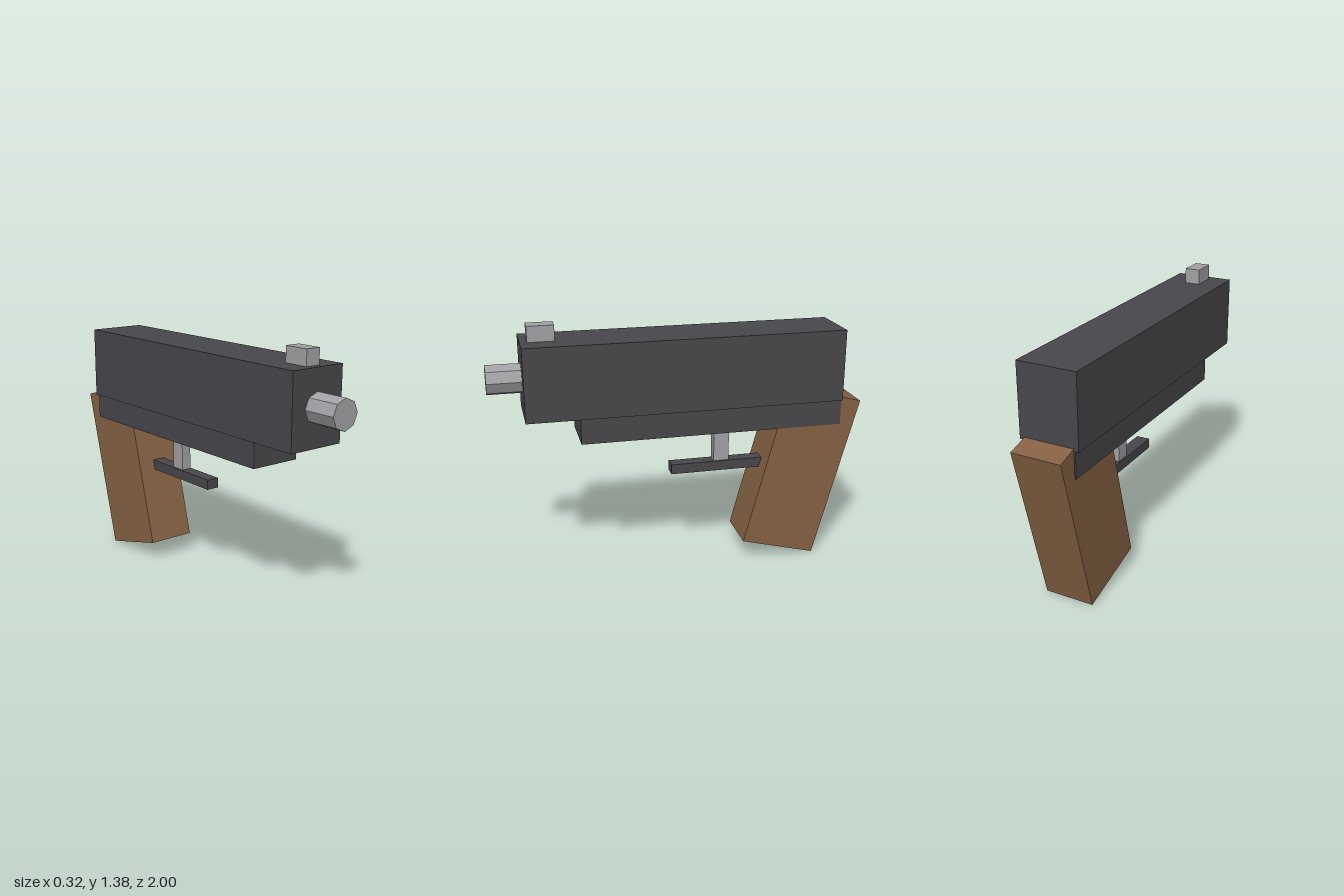
import * as THREE from 'three';

const material = (name, color) => {
  const m = new THREE.MeshStandardMaterial({ color });
  m.name = name;
  return m;
};

export function createModel() {
  const model = new THREE.Group();
  const darkMetal = material('dark metal', 0x48474b);
  const lightMetal = material('light metal', 0xa2a2a6);
  const wood = material('brown grip', 0x866244);

  const add = (name, geometry, mat, y, z) => {
    const mesh = new THREE.Mesh(geometry, mat);
    mesh.name = name;
    mesh.position.set(0, y, z);
    model.add(mesh);
    return mesh;
  };

  // Box given by its width and its extents in y and z
  const block = (name, mat, width, y0, y1, z0, z1) =>
    add(name, new THREE.BoxGeometry(width, y1 - y0, z1 - z0), mat, (y0 + y1) / 2, (z0 + z1) / 2);

  // Upper body and the narrower frame beneath it
  block('slide', darkMetal, 0.32, 0.915, 1.305, -0.885, 0.82);
  block('frame', darkMetal, 0.284, 0.775, 0.915, -0.885, 0.54);

  // Sight, trigger and guard bar
  block('frontSight', lightMetal, 0.084, 1.305, 1.388, 0.643, 0.783);
  block('trigger', lightMetal, 0.056, 0.575, 0.775, -0.285, -0.2);
  block('triggerGuard', darkMetal, 0.072, 0.52, 0.575, -0.48, 0.04);

  // Octagonal barrel with a corner at the top
  const barrel = new THREE.CylinderGeometry(0.079, 0.079, 0.2, 8).toNonIndexed();
  barrel.rotateX(Math.PI / 2);
  barrel.computeVertexNormals();
  add('barrel', barrel, lightMetal, 1.112, 0.9);

  // Grip leaning back at the top
  const grip = add('grip', new THREE.BoxGeometry(0.27, 0.924, 0.424), wood, 0.506, -0.675);
  grip.rotation.x = -THREE.MathUtils.degToRad(15);

  return model;
}
